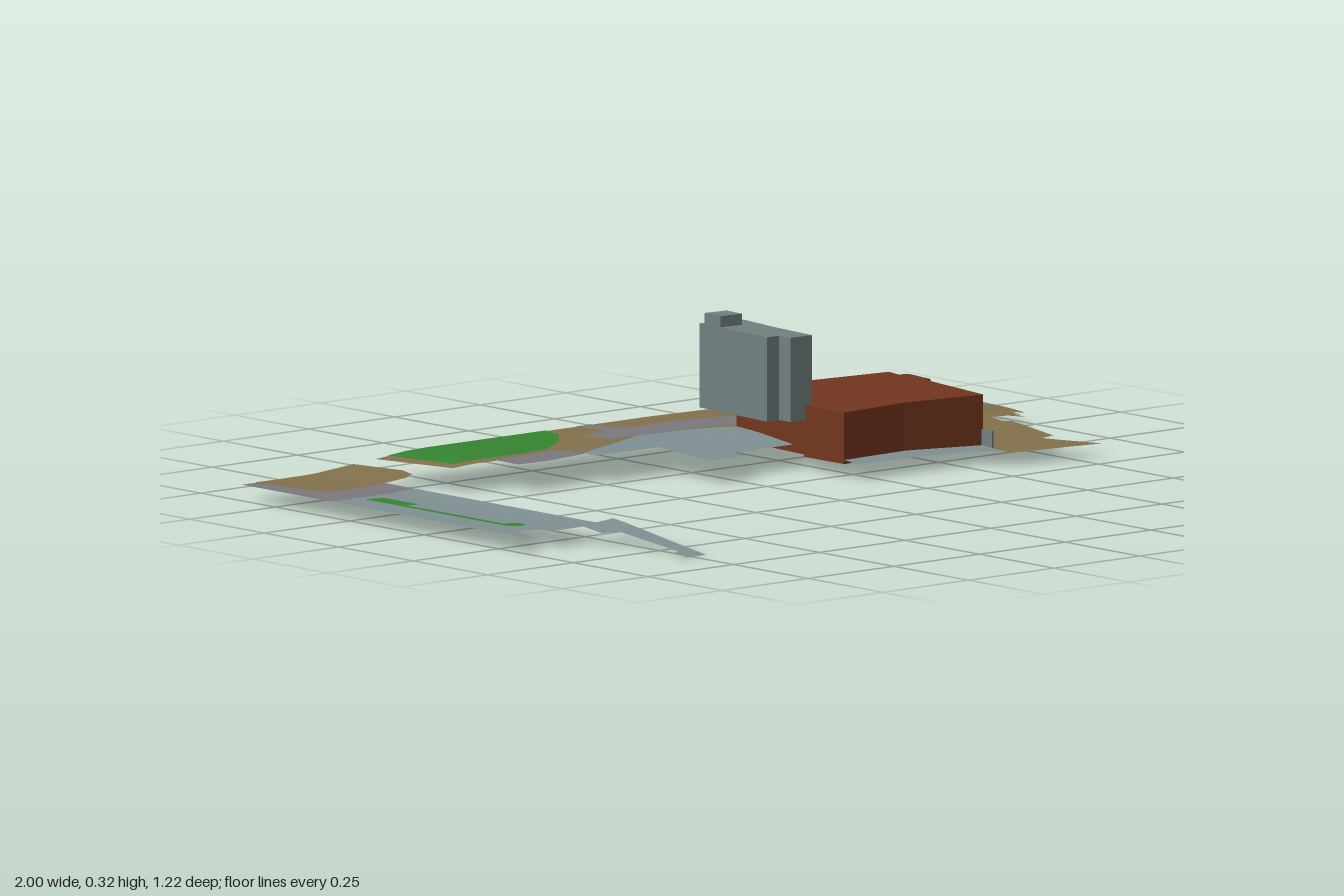
import * as THREE from 'three';

const COLORS = { brick: 0x72361e, slate: 0x71807f, paving: 0x7f9092, earth: 0x82714c, road: 0x7a787c, grass: 0x34852f };
const mats = {};
for (const k in COLORS) {
  mats[k] = new THREE.MeshStandardMaterial({ color: COLORS[k], flatShading: true, side: THREE.DoubleSide });
}

// Linear interpolation through a list of [position, value] stops
function ramp(t, stops) {
  if (t <= stops[0][0]) return stops[0][1];
  for (let i = 1; i < stops.length; i++) {
    const [a, u] = stops[i - 1], [b, v] = stops[i];
    if (t <= b) return u + (v - u) * (t - a) / (b - a);
  }
  return stops[stops.length - 1][1];
}

// Gently sloping ground height
function groundHeight(x, z) {
  const base = ramp(x, [[-0.8, 0.036], [-0.5, 0.06], [0.2, 0.06], [0.6, 0.054], [0.85, 0.052], [1, 0.03]]);
  if (x < -0.6) return base * ramp(z, [[0.31, 1], [0.612, 0]]);
  return Math.max(0.029, base + ramp(z, [[-0.3, 0], [-0.11, -0.01], [0.07, -0.026]]));
}

// Flat outline [x, z] split into small triangles and draped over the ground
function patch(name, mat, outline, lift = 0) {
  const pts = outline.map(([x, z]) => new THREE.Vector2(x, -z));
  if (THREE.ShapeUtils.isClockWise(pts)) pts.reverse();
  const out = [];
  const split = (a, b, c) => {
    const e = [a.distanceTo(b), b.distanceTo(c), c.distanceTo(a)];
    const longest = Math.max(...e);
    if (longest > 0.07) {
      // turn the triangle so that a-b is its longest edge
      if (longest === e[1]) [a, b, c] = [b, c, a];
      else if (longest === e[2]) [a, b, c] = [c, a, b];
      const m = a.clone().add(b).multiplyScalar(0.5);
      split(a, m, c);
      split(m, b, c);
    } else {
      for (const p of [a, b, c]) out.push(p.x, groundHeight(p.x, -p.y) + lift, -p.y);
    }
  };
  for (const [i, j, k] of THREE.ShapeUtils.triangulateShape(pts, [])) split(pts[i], pts[j], pts[k]);
  const g = new THREE.BufferGeometry();
  g.setAttribute('position', new THREE.Float32BufferAttribute(out, 3));
  g.computeVertexNormals();
  const mesh = new THREE.Mesh(g, mats[mat]);
  mesh.name = name;
  return mesh;
}

// Upright block with the given plan outline [x, z]
function block(name, mat, outline, y0, y1) {
  const shape = new THREE.Shape(outline.map(([x, z]) => new THREE.Vector2(x, -z)));
  const g = new THREE.ExtrudeGeometry(shape, { depth: y1 - y0, bevelEnabled: false });
  g.rotateX(-Math.PI / 2).translate(0, y0, 0);
  const mesh = new THREE.Mesh(g, mats[mat]);
  mesh.name = name;
  return mesh;
}

export function createModel() {
  const model = new THREE.Group();
  model.name = 'sitePlan';
  const B = -0.612; // back edge of the site

  // Western strip: road, lawn, paving and planting
  const west = new THREE.Group();
  west.name = 'westStrip';
  west.add(
    patch('westRoad', 'road', [[-1, B], [-0.76, B], [-0.76, -0.31], [-1, -0.31]]),
    patch('westBank', 'earth', [[-0.965, B], [-0.675, B], [-0.655, -0.47], [-0.67, -0.42], [-0.7, -0.405],
      [-0.915, -0.405], [-0.94, -0.45]], 0.001),
    patch('westPaving', 'paving', [[-1, -0.31], [-0.76, -0.31], [-0.76, 0.3], [-0.71, 0.3], [-0.71, 0.612],
      [-0.765, 0.612], [-0.765, 0.57], [-0.75, 0.565], [-0.765, 0.385], [-0.805, 0.37], [-0.805, 0.31],
      [-0.89, 0.31], [-0.91, 0.28], [-0.94, 0.265], [-0.965, 0.27], [-0.97, 0.335], [-1, 0.335]]),
    patch('westPlanting', 'grass', [[-0.93, -0.28], [-0.885, -0.27], [-0.885, -0.15], [-0.915, -0.155],
      [-0.915, 0.17], [-0.885, 0.18], [-0.885, 0.21], [-0.91, 0.22], [-0.93, 0.2]], 0.001),
  );

  // Main site: earth base with lawn, roads and paving on it
  const site = new THREE.Group();
  site.name = 'mainSite';
  site.add(
    patch('earthBase', 'earth', [[-0.61, B], [1, B], [0.955, -0.23], [0.915, -0.235], [0.915, -0.2],
      [0.895, -0.2], [0.895, -0.165], [0.81, -0.18], [0.8, -0.13], [0.82, -0.12], [0.81, 0.03], [0.77, 0.035],
      [0.825, 0.175], [0.59, 0.14], [0.6, 0.035], [0.635, -0.2], [0.65, -0.33], [0.245, -0.385], [0.14, -0.41],
      [0, -0.43], [-0.25, -0.33], [-0.26, -0.39], [-0.46, -0.38], [-0.575, -0.395]]),
    patch('lawn', 'grass', [[-0.575, B], [-0.115, B], [-0.13, -0.55], [-0.19, -0.48], [-0.28, -0.42],
      [-0.4, -0.41], [-0.55, -0.42]], 0.0015),
    patch('sideRoad', 'road', [[-0.46, -0.385], [-0.28, -0.4], [-0.25, -0.385], [-0.25, -0.32],
      [-0.38, -0.3], [-0.46, -0.305]], 0.001),
    patch('mainRoad', 'road', [[-0.1, -0.5], [-0.01, -0.53], [-0.025, B], [0.02, B], [0.03, -0.54], [0.06, -0.52],
      [0.2, -0.53], [0.45, -0.475], [0.65, -0.465], [0.83, -0.43], [0.975, -0.45], [0.96, -0.32],
      [0.66, -0.355], [0.5, -0.365], [0.15, -0.43], [-0.08, -0.43]], 0.001),
    patch('crossPaving', 'paving', [[0.67, B], [0.855, B], [0.83, -0.43], [0.65, -0.465]], 0.001),
    patch('plaza', 'paving', [[-0.25, -0.33], [-0.25, -0.285], [-0.07, -0.285], [-0.07, -0.11], [0.035, -0.11],
      [0.035, -0.15], [0.207, -0.15], [0.245, -0.385], [0.14, -0.42], [0, -0.43]], 0.001),
    patch('frontPaving', 'paving', [[0.207, 0.02], [0.207, 0.065], [0.45, 0.065], [0.55, 0.08], [0.59, 0.12],
      [0.6, 0.035], [0.4, 0.005]], 0.001),
  );

  // Low wall at the front corner of the hall
  const wall = new THREE.Mesh(new THREE.BoxGeometry(0.004, 0.038, 0.035), mats.slate);
  wall.position.set(0.598, 0.049, 0.052);
  wall.name = 'cornerWall';

  // Brick hall, raised tower and its roof box
  const buildings = new THREE.Group();
  buildings.name = 'buildings';
  buildings.add(
    block('hall', 'brick', [[0.207, 0.02], [0.4, 0.005], [0.6, 0.035], [0.635, -0.2], [0.65, -0.2], [0.66, -0.285],
      [0.637, -0.29], [0.645, -0.333], [0.245, -0.385], [0.225, -0.115], [0.207, -0.115]], 0.03, 0.145),
    block('tower', 'slate', [[0.13, -0.15], [0.165, -0.15], [0.165, -0.112], [0.225, -0.108], [0.235, -0.25],
      [0.25, -0.365], [0.215, -0.37], [0.215, -0.385], [0.145, -0.393]], 0.112, 0.3),
    block('roofBox', 'slate', [[0.142, -0.32], [0.2, -0.315], [0.203, -0.37], [0.145, -0.376]], 0.3, 0.325),
  );

  model.add(west, site, wall, buildings);
  return model;
}
